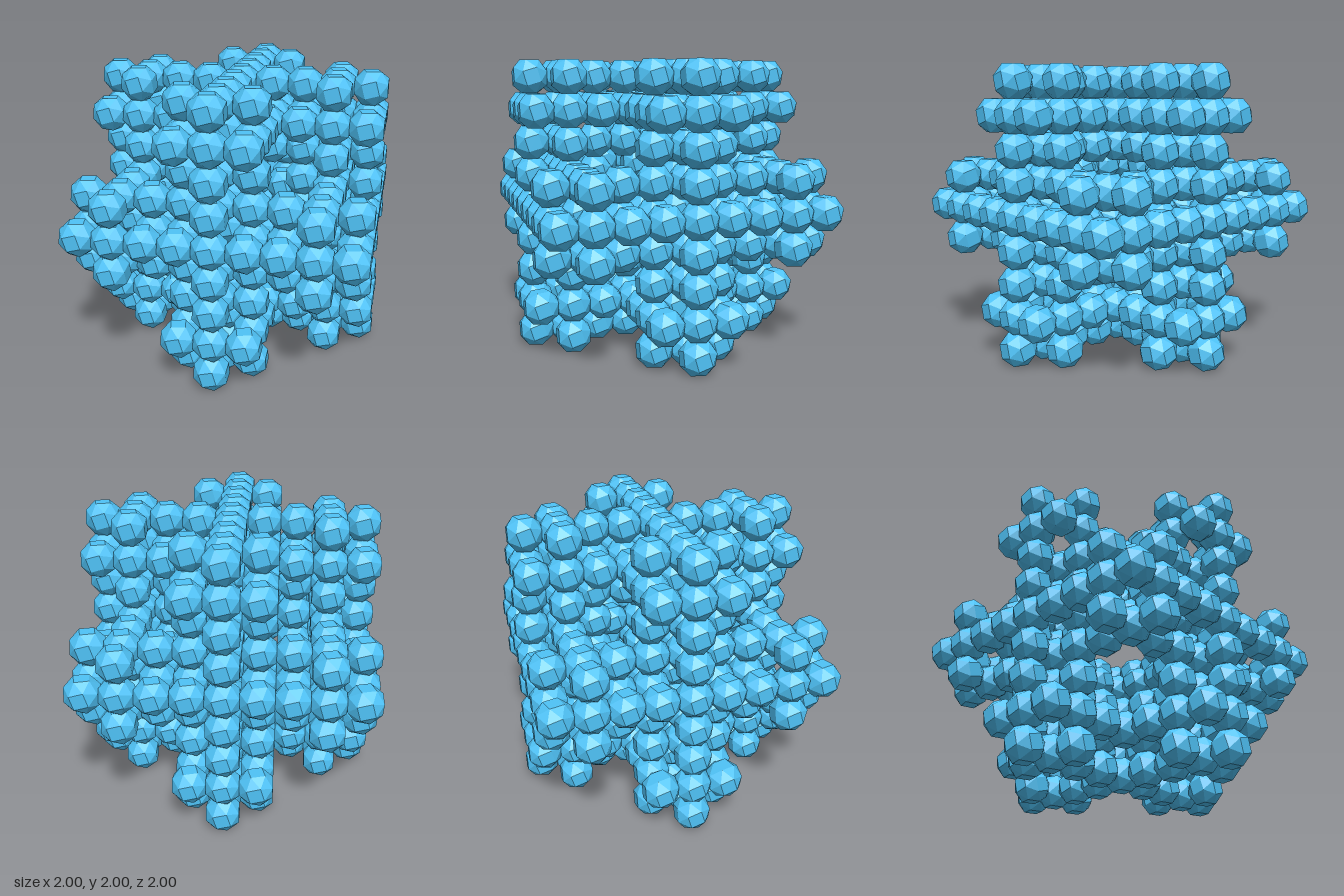
import * as THREE from 'three';
import { ConvexGeometry } from 'three/addons/geometries/ConvexGeometry.js';

const CELL = 2 / 9; // spacing of the 9 x 9 x 9 grid

// Snub cube: one corner turned by the 24 rotations of a cube
function snubCube(radius) {
  const t = 1.839287;
  const corner = [1 / t, 1, t].map((v) => (v / t) * radius);
  const orders = [[0, 1, 2, 1], [1, 2, 0, 1], [2, 0, 1, 1], [0, 2, 1, -1], [2, 1, 0, -1], [1, 0, 2, -1]];
  const points = [];
  for (const [a, b, c, parity] of orders)
    for (const sx of [-1, 1])
      for (const sy of [-1, 1])
        points.push(new THREE.Vector3(sx * corner[a], sy * corner[b], sx * sy * parity * corner[c]));
  return new ConvexGeometry(points);
}

// 3 x 3 x 3 block without its centre and its eight corners
function snowflakeOffsets() {
  const offsets = [];
  for (let x = -1; x <= 1; x++)
    for (let y = -1; y <= 1; y++)
      for (let z = -1; z <= 1; z++) {
        const steps = Math.abs(x) + Math.abs(y) + Math.abs(z);
        if (steps === 1 || steps === 2) offsets.push(new THREE.Vector3(x, y, z));
      }
  return offsets;
}

export function createModel() {
  const geometry = snubCube(CELL / 2);
  const material = new THREE.MeshStandardMaterial({ color: 0x4fc3f7, flatShading: true });
  const offsets = snowflakeOffsets();

  // Each level repeats the level below at the 18 offsets
  function build(level) {
    if (level === 0) {
      const ball = new THREE.Mesh(geometry, material);
      ball.name = 'snubCube';
      return ball;
    }
    const group = new THREE.Group();
    group.name = level === 1 ? 'cluster' : 'fractalSnowflake';
    for (const offset of offsets) {
      const child = build(level - 1);
      child.position.copy(offset).multiplyScalar(CELL * 3 ** (level - 1));
      group.add(child);
    }
    return group;
  }

  const model = new THREE.Group();
  model.name = 'model';
  const snowflake = build(2);
  snowflake.position.y = 1;
  model.add(snowflake);
  return model;
}
